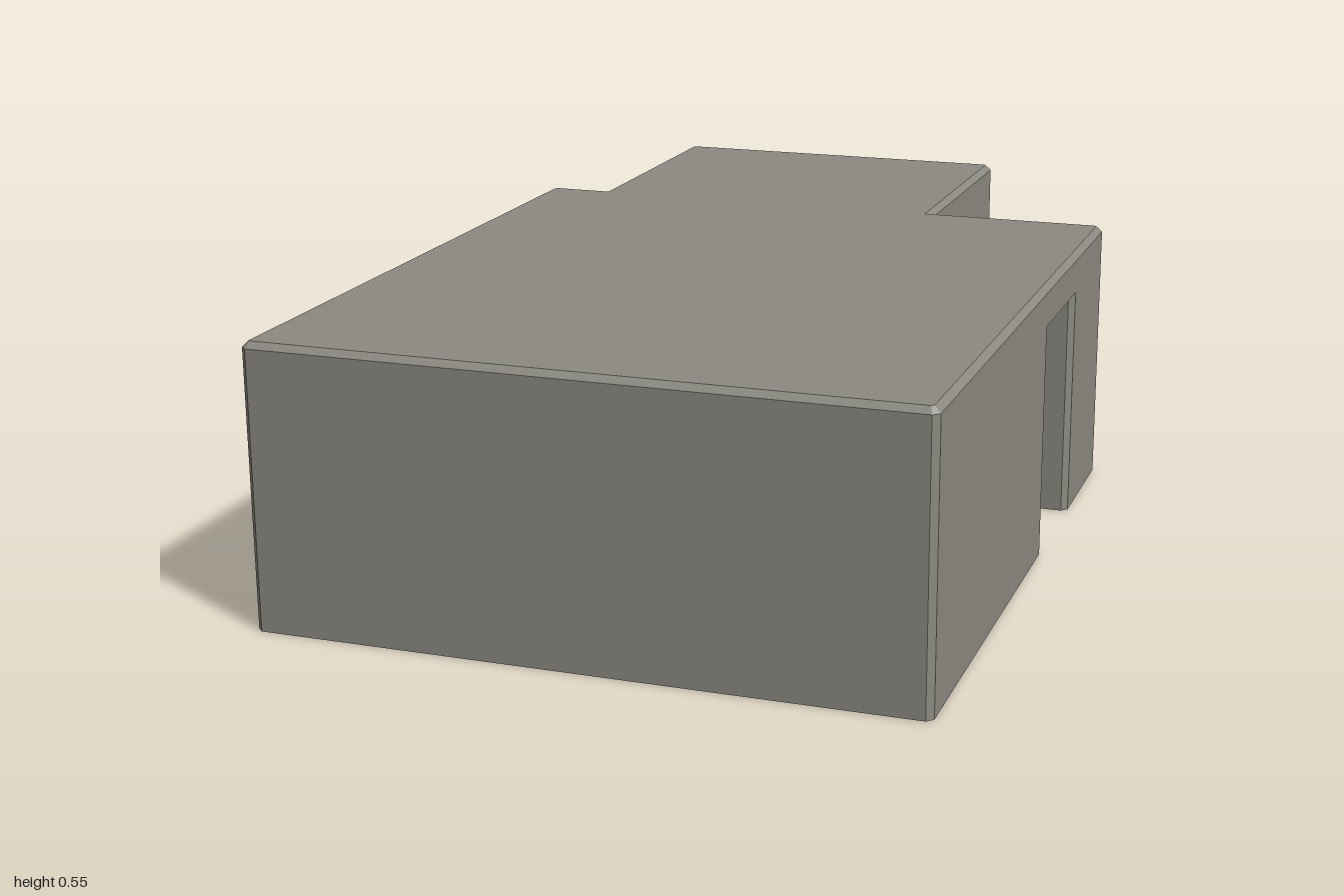
import * as THREE from 'three';

const CH = 0.012; // corner chamfer
const wall = new THREE.MeshStandardMaterial({ color: 0x8b8981 });
wall.name = 'warm grey';

// Plan points are [x, z, chamfered?]; a chamfered corner becomes two points.
function planPoints(pts) {
  const out = [];
  pts.forEach(([x, z, cut], i) => {
    const p = new THREE.Vector2(x, -z);
    if (!cut) return out.push(p);
    for (const j of [i + pts.length - 1, i + 1]) {
      const [nx, nz] = pts[j % pts.length];
      const dir = new THREE.Vector2(nx, -nz).sub(p).normalize();
      out.push(p.clone().addScaledVector(dir, CH));
    }
  });
  return out;
}

// Extrudes a plan upward from y0 to y1.
function raise(name, plan, y0, y1, holes = [], bevel = {}) {
  const shape = new THREE.Shape(planPoints(plan));
  holes.forEach(h => shape.holes.push(new THREE.Path(planPoints(h))));
  const geo = new THREE.ExtrudeGeometry(shape, { depth: y1 - y0, bevelEnabled: false, ...bevel });
  geo.rotateX(-Math.PI / 2).translate(0, y0, 0);
  const mesh = new THREE.Mesh(geo, wall);
  mesh.name = name;
  return mesh;
}

export function createModel() {
  const model = new THREE.Group();
  model.name = 'twoRoomBuilding';

  const outline = [
    [0.64, 1, 1], [0.64, -0.42, 1], [0.26, -0.42], [0.26, -1, 1],
    [-0.51, -1, 1], [-0.51, -0.42], [-0.64, -0.42, 1], [-0.64, 1, 1],
  ];
  const mainRoom = [[-0.51, -0.36], [0.57, -0.36], [0.57, 0.91], [-0.51, 0.91]];
  const backRoom = [[-0.44, -0.94], [0.19, -0.94], [0.19, -0.42], [-0.44, -0.42]];

  // Walls up to door height, split in two by the three doorways
  const frontWalls = [
    [0.64, 0.14, 1], [0.64, 1, 1], [-0.64, 1, 1], [-0.64, -0.42, 1],
    [-0.51, -0.42], [-0.51, -1, 1], [-0.3, -1, 1], [-0.3, -0.94],
    [-0.44, -0.94], [-0.44, -0.42], [-0.29, -0.42], [-0.29, -0.36],
    [-0.51, -0.36], [-0.51, 0.91], [0.57, 0.91], [0.57, 0.14],
  ];
  const backWalls = [
    [0.64, -0.12, 1], [0.57, -0.12], [0.57, -0.36], [-0.05, -0.36],
    [-0.05, -0.42], [0.19, -0.42], [0.19, -0.94], [-0.05, -0.94],
    [-0.05, -1, 1], [0.26, -1, 1], [0.26, -0.42], [0.64, -0.42, 1],
  ];
  model.add(raise('frontAndLeftWalls', frontWalls, 0, 0.47));
  model.add(raise('backAndRightWalls', backWalls, 0, 0.47));

  // Wall band over the doorways, then the ceiling slab
  model.add(raise('lintelBand', outline, 0.47, 0.52, [mainRoom, backRoom]));
  model.add(raise('ceilingSlab', outline, 0.52, 0.538));

  // Roof with a chamfered rim; its lower bevel sits inside the slab
  model.add(raise('roof', outline, 0.537, 0.538, [], {
    bevelEnabled: true, bevelThickness: CH, bevelSize: CH, bevelOffset: -CH, bevelSegments: 1,
  }));
  return model;
}
